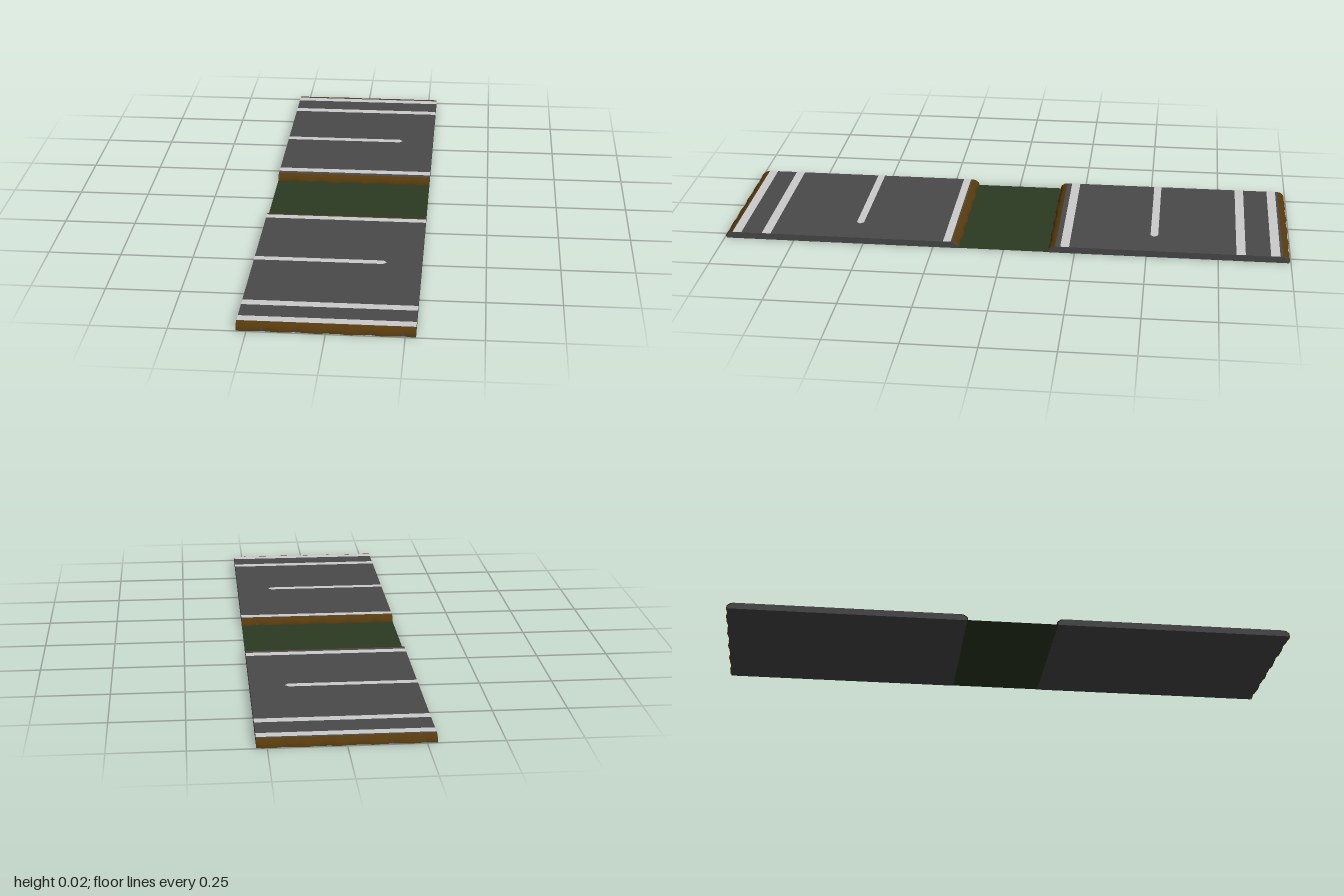
import * as THREE from 'three';

const W = 0.284, H = 0.0228;

export function createModel() {
  const model = new THREE.Group();
  const mat = (name, color, side = THREE.FrontSide) => {
    const m = new THREE.MeshStandardMaterial({ color, side });
    m.name = name;
    return m;
  };
  const asphalt = mat('asphalt', 0x4a4a4a);
  const paint = mat('roadPaint', 0xcccccc);
  const soil = mat('soil', 0x573a0d, THREE.DoubleSide);
  const grass = mat('grass', 0x2d3b22, THREE.DoubleSide);

  const add = (parent, name, geometry, material) => {
    const mesh = new THREE.Mesh(geometry, material);
    mesh.name = name;
    parent.add(mesh);
    return mesh;
  };

  // Roadbed: side profile with sloped ends, extruded across the width
  const roadbed = (z0, z1) => {
    const s = new THREE.Shape([
      [z0 + 0.004, 0], [z1 - 0.004, 0], [z1 - 0.005, 0.011], [z1 - 0.024, H],
      [z0 + 0.024, H], [z0 + 0.005, 0.011],
    ].map(([z, y]) => new THREE.Vector2(-z, y)));
    const g = new THREE.ExtrudeGeometry(s, { depth: 2 * W, bevelEnabled: false });
    return g.translate(0, 0, -W).rotateY(Math.PI / 2);
  };

  // Soil bank: curved strip along a road end, with a ragged edge
  const soilBank = (zEnd, dir, seed) => {
    const n = 28, pos = [], index = [];
    const rows = [[-0.0245, H + 0.0003], [-0.013, 0.0205], [-0.002, 0.012], [0, 0]];
    for (let i = 0; i <= n; i++) {
      const x = -W + (2 * W * i) / n;
      const wave = 0.0025 * Math.sin(i * 1.15 + seed) + 0.0015 * Math.sin(i * 2.6 + seed * 2);
      rows.forEach(([dz, y], j) => {
        pos.push(x, y, zEnd + dir * (dz + wave * (j / 3) - 0.001));
        if (i < n && j < 3) {
          const a = i * 4 + j, b = a + 4;
          if (dir > 0) index.push(a, a + 1, b, b, a + 1, b + 1);
          else index.push(a, b, a + 1, b, b + 1, a + 1);
        }
      });
    }
    const g = new THREE.BufferGeometry();
    g.setAttribute('position', new THREE.Float32BufferAttribute(pos, 3));
    g.setIndex(index);
    g.computeVertexNormals();
    return g;
  };

  // Flat painted line across the road; a dash stops short with a small tip
  const line = (z0, z1, dash) => {
    const zc = (z0 + z1) / 2;
    const pts = dash
      ? [[-W, -z1], [0.153, -z1], [0.166, -zc], [0.153, -z0], [-W, -z0]]
      : [[-W, -z1], [W, -z1], [W, -z0], [-W, -z0]];
    const g = new THREE.ShapeGeometry(new THREE.Shape(pts.map((p) => new THREE.Vector2(...p))));
    return g.rotateX(-Math.PI / 2).translate(0, H + 0.0008, 0);
  };

  const roads = [
    { name: 'frontRoad', z0: 0.157, z1: 0.997, dash: [0.52, 0.546],
      lines: [[0.187, 0.214], [0.833, 0.865], [0.939, 0.971]] },
    { name: 'backRoad', z0: -0.997, z1: -0.157, dash: [-0.538, -0.511],
      lines: [[-0.963, -0.931], [-0.844, -0.812], [-0.231, -0.2]] },
  ];
  roads.forEach((r, k) => {
    const road = new THREE.Group();
    road.name = r.name;
    add(road, 'roadbed', roadbed(r.z0, r.z1), asphalt);
    add(road, 'frontSoilBank', soilBank(r.z1, 1, k * 2), soil);
    add(road, 'backSoilBank', soilBank(r.z0, -1, k * 2 + 1), soil);
    r.lines.forEach(([a, b]) => add(road, 'edgeLine', line(a, b, false), paint));
    add(road, 'laneDash', line(...r.dash, true), paint);
    model.add(road);
  });

  // Grass median between the two roads
  const median = new THREE.PlaneGeometry(2 * W, 0.33).rotateX(-Math.PI / 2).translate(0, 0.001, 0);
  add(model, 'grassMedian', median, grass);

  return model;
}
